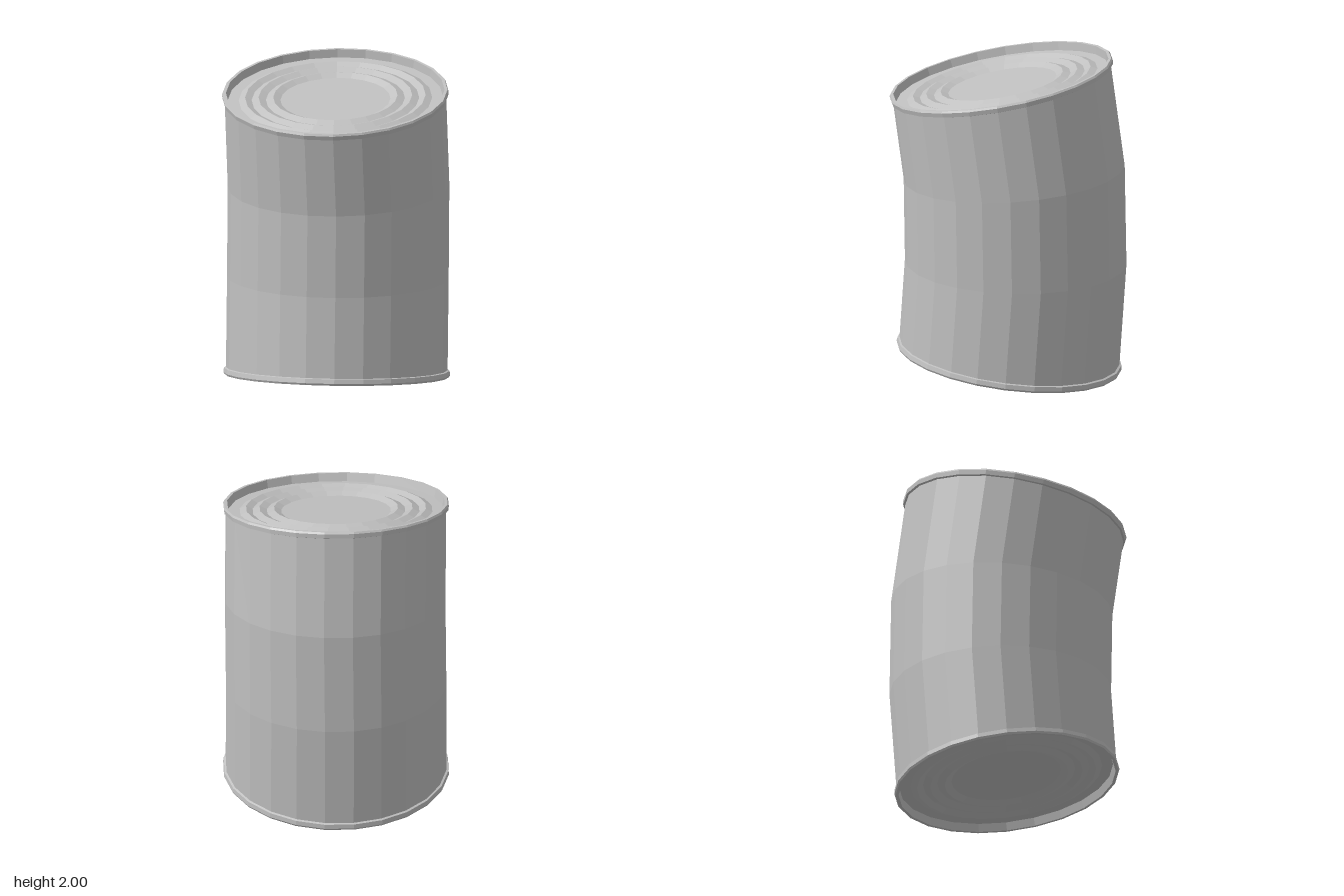
import * as THREE from 'three';

const SIDES = 24;
const UP = new THREE.Vector3(0, 1, 0);

// Placement of a tilted ring: centre plus slopes of its plane along x and z
function frame(x, y, z, slopeX, slopeZ) {
  const normal = new THREE.Vector3(-slopeX, 1, -slopeZ).normalize();
  const turn = new THREE.Quaternion().setFromUnitVectors(UP, normal);
  return new THREE.Matrix4().compose(new THREE.Vector3(x, y, z), turn, new THREE.Vector3(1, 1, 1));
}

function lathe(profile) {
  return new THREE.LatheGeometry(profile.map(([r, y]) => new THREE.Vector2(r, y)), SIDES);
}

// Faceted mesh
function facet(name, geometry, material) {
  const flat = geometry.toNonIndexed();
  flat.computeVertexNormals();
  const mesh = new THREE.Mesh(flat, material);
  mesh.name = name;
  return mesh;
}

export function createModel() {
  const can = new THREE.Group();
  can.name = 'bentCan';
  const metal = new THREE.MeshStandardMaterial({ color: 0xc0c0c0 });
  metal.name = 'grey metal';

  // Rings of the bent wall, bottom to top
  const rings = [
    frame(0.004, 0.105, -0.005, -0.043, 0.117),
    frame(0.02, 0.7, -0.042, -0.01, 0.015),
    frame(0.022, 1.275, -0.032, 0.03, -0.066),
    frame(-0.016, 1.863, 0.04, 0.066, -0.169),
  ];

  // Wall: each lathe ring is moved into its own tilted frame
  const wall = lathe(rings.map(() => [0.681, 0]));
  const pos = wall.attributes.position;
  const v = new THREE.Vector3();
  for (let i = 0; i < pos.count; i++) {
    v.fromBufferAttribute(pos, i).applyMatrix4(rings[i % rings.length]);
    pos.setXYZ(i, v.x, v.y, v.z);
  }
  can.add(facet('wall', wall, metal));

  // Rolled rim, from the wall over the lip to the recessed lid
  const rim = [
    [0.678, -0.024], [0.693, -0.019], [0.697, 0.008], [0.69, 0.02], [0.672, 0.02], [0.662, -0.03],
  ];
  // Lid with three raised rings around a flat centre
  const lid = [
    [0.662, -0.03], [0.595, -0.03], [0.555, -0.012], [0.515, -0.03], [0.472, -0.012],
    [0.427, -0.03], [0.382, -0.012], [0.338, -0.032], [0, -0.032],
  ];
  const ends = {
    top: rings[3],
    bottom: rings[0].clone().multiply(new THREE.Matrix4().makeRotationX(Math.PI)),
  };
  for (const [side, matrix] of Object.entries(ends)) {
    can.add(facet(side + 'Rim', lathe(rim).applyMatrix4(matrix), metal));
    can.add(facet(side + 'Lid', lathe(lid).applyMatrix4(matrix), metal));
  }
  return can;
}
